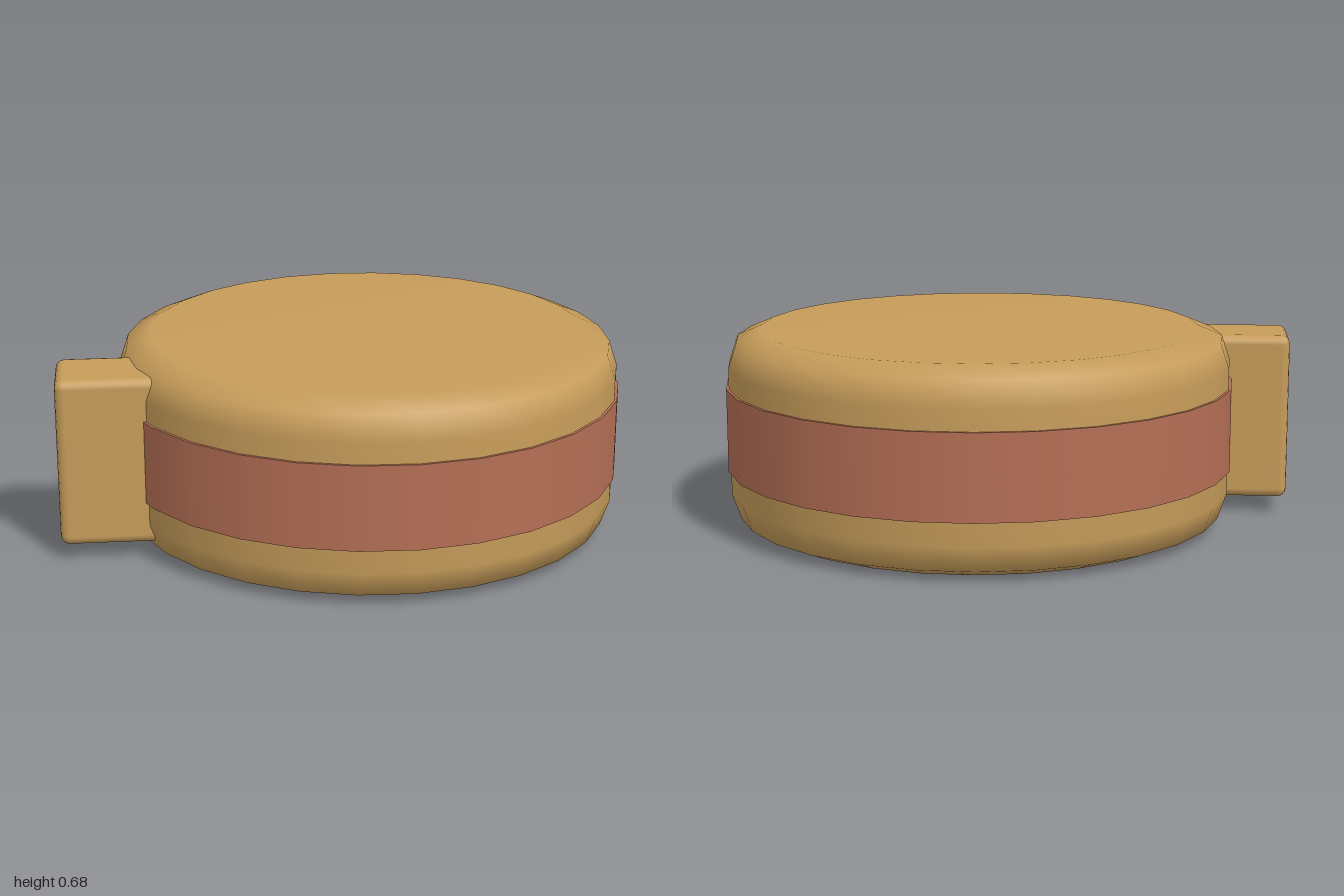
import * as THREE from 'three';
import { RoundedBoxGeometry } from 'three/addons/geometries/RoundedBoxGeometry.js';

export function createModel() {
  const model = new THREE.Group();
  const tan = new THREE.MeshStandardMaterial({ color: 0xc69c5a });
  tan.name = 'tan';
  const red = new THREE.MeshStandardMaterial({ color: 0xb56f55 });
  red.name = 'dusty red';

  const SIDES = 28;
  const CENTRE_X = 0.127;

  const add = (name, geometry, material, x, y, z) => {
    const mesh = new THREE.Mesh(geometry, material);
    mesh.name = name;
    mesh.position.set(x, y, z);
    model.add(mesh);
    return mesh;
  };

  // Round drum with softly bevelled rims
  const profile = [
    [0, 0], [0.75, 0], [0.835, 0.035], [0.864, 0.12],
    [0.864, 0.555], [0.835, 0.64], [0.75, 0.675], [0, 0.675],
  ].map(([r, y]) => new THREE.Vector2(r, y));
  add('body', new THREE.LatheGeometry(profile, SIDES), tan, CENTRE_X, 0, 0);

  // Coloured band standing slightly proud of the drum
  add('band', new THREE.CylinderGeometry(0.873, 0.873, 0.285, SIDES), red, CENTRE_X, 0.3425, 0);

  // Rounded block set into the side at a slight angle
  const block = add('sideBlock', new RoundedBoxGeometry(0.5, 0.575, 0.28, 2, 0.03), tan, -0.726, 0.3425, -0.017);
  block.rotation.y = -0.297;

  return model;
}
